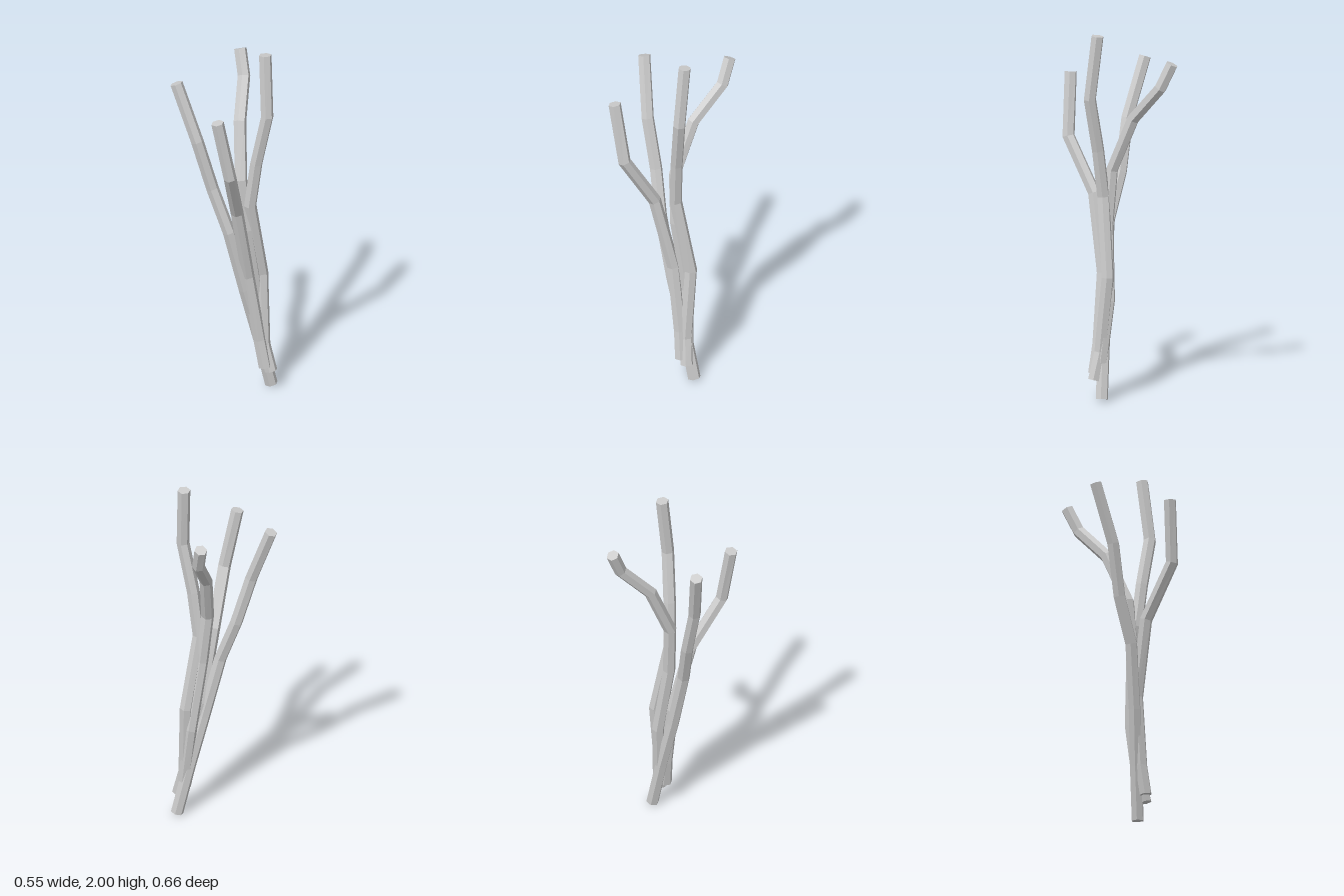
import * as THREE from 'three';

const RADIUS = 0.035;
const SIDES = 6;

// Centre lines, bottom to top
const STEMS = {
  tallStem: [[0.225, 0.11, 0.115], [0.195, 0.26, 0.085], [0.195, 0.67, 0.045], [0.118, 1.1, 0.08],
    [0.145, 1.36, 0.105], [0.195, 1.65, 0.142], [0.197, 2.0, 0.1]],
  backStem: [[0.2, 0.2, 0.08], [0.17, 0.54, 0.042], [0.105, 0.95, 0.06], [0.078, 1.24, 0.04],
    [0.108, 1.53, -0.08], [0.178, 1.72, -0.24], [0.176, 1.855, -0.303]],
  sideStem: [[0.24, 0.01, 0.07], [0.17, 0.3, 0.07], [0.09, 0.6, 0.075], [0.003, 0.95, 0.068],
    [-0.075, 1.2, 0.015], [-0.153, 1.48, -0.008], [-0.246, 1.803, -0.09]],
  frontStem: [[0.19, 0.14, 0.12], [0.165, 0.3, 0.1], [0.105, 0.68, 0.085], [0.025, 1.1, 0.145],
    [-0.06, 1.39, 0.298], [-0.13, 1.73, 0.297]],
};

// Six-sided stalk with mitred joints and closed ends
function stemGeometry(path) {
  const pts = path.map((p) => new THREE.Vector3(...p));
  const pos = [];
  const index = [];
  const last = pts.length - 1;
  pts.forEach((p, i) => {
    const tangent = pts[Math.min(i + 1, last)].clone().sub(p).normalize();
    tangent.add(p.clone().sub(pts[Math.max(i - 1, 0)]).normalize()).normalize();
    const u = new THREE.Vector3(1, 0, 0).addScaledVector(tangent, -tangent.x).normalize();
    const v = new THREE.Vector3().crossVectors(u, tangent);
    for (let k = 0; k < SIDES; k++) {
      const a = (k / SIDES) * Math.PI * 2;
      const q = p.clone().addScaledVector(u, RADIUS * Math.cos(a)).addScaledVector(v, RADIUS * Math.sin(a));
      pos.push(q.x, q.y, q.z);
    }
  });
  for (let i = 0; i < last; i++) {
    for (let k = 0; k < SIDES; k++) {
      const a = i * SIDES + k;
      const b = i * SIDES + (k + 1) % SIDES;
      index.push(a, a + SIDES, b, b, a + SIDES, b + SIDES);
    }
  }
  // End caps
  const top = last * SIDES;
  for (let k = 1; k < SIDES - 1; k++) {
    index.push(0, k, k + 1, top, top + k + 1, top + k);
  }
  const geo = new THREE.BufferGeometry();
  geo.setAttribute('position', new THREE.Float32BufferAttribute(pos, 3));
  geo.setIndex(index);
  const flat = geo.toNonIndexed();
  flat.computeVertexNormals();
  return flat;
}

export function createModel() {
  const group = new THREE.Group();
  group.name = 'stemBundle';
  const material = new THREE.MeshStandardMaterial({ color: 0xcccccc, flatShading: true });
  for (const [name, path] of Object.entries(STEMS)) {
    const mesh = new THREE.Mesh(stemGeometry(path), material);
    mesh.name = name;
    group.add(mesh);
  }
  return group;
}
